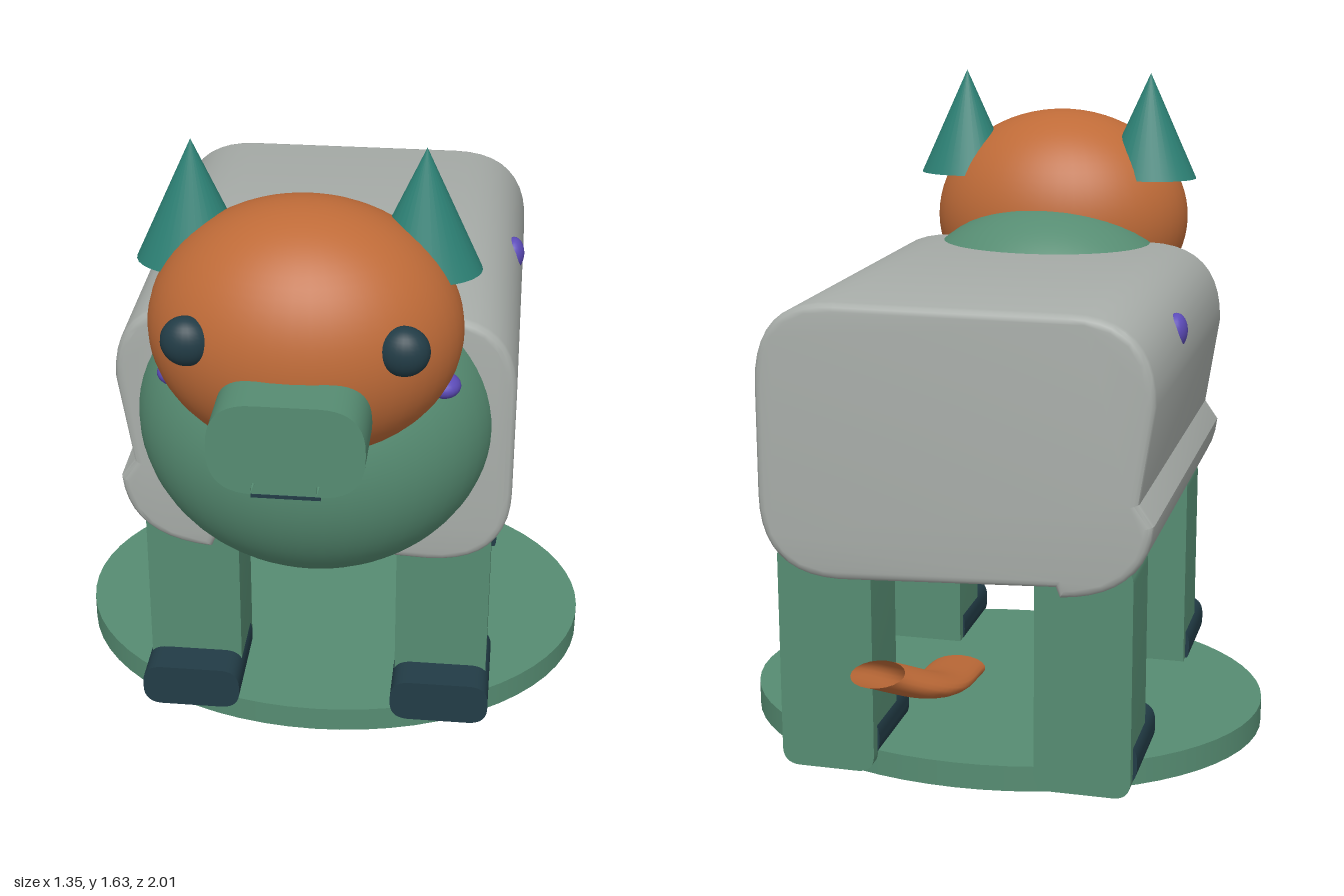
import * as THREE from 'three';
import { toCreasedNormals } from 'three/addons/utils/BufferGeometryUtils.js';

const mat = (name, color, side = THREE.FrontSide) => {
  const m = new THREE.MeshStandardMaterial({ color, side });
  m.name = name;
  return m;
};

// Rounded rectangle centred on the origin
function roundedRect(w, h, r) {
  const x = w / 2, y = h / 2, s = new THREE.Shape();
  s.moveTo(-x + r, -y);
  s.lineTo(x - r, -y);
  s.quadraticCurveTo(x, -y, x, -y + r);
  s.lineTo(x, y - r);
  s.quadraticCurveTo(x, y, x - r, y);
  s.lineTo(-x + r, y);
  s.quadraticCurveTo(-x, y, -x, y - r);
  s.lineTo(-x, -y + r);
  s.quadraticCurveTo(-x, -y, -x + r, -y);
  return s;
}

// Extrudes a shape along z between two depths, optionally with a soft edge
function extrude(shape, z0, z1, bevel = 0) {
  const g = new THREE.ExtrudeGeometry(shape, {
    depth: z1 - z0 - 2 * bevel, curveSegments: 10, bevelEnabled: bevel > 0,
    bevelThickness: bevel, bevelSize: bevel, bevelOffset: -bevel, bevelSegments: 3,
  });
  g.translate(0, 0, z0 + bevel);
  return toCreasedNormals(g, 0.6);
}

export function createModel() {
  const model = new THREE.Group();
  model.name = 'toyAnimal';
  const green = mat('green', 0x568c72);
  const grey = mat('grey', 0xa8ada9);
  const orange = mat('orange', 0xbf6b38, THREE.DoubleSide);
  const teal = mat('teal', 0x2c8074);
  const dark = mat('dark slate', 0x223c46);
  const purple = mat('purple', 0x5c4bb8);

  const add = (name, geometry, material, x = 0, y = 0, z = 0) => {
    const m = new THREE.Mesh(geometry, material);
    m.name = name;
    m.position.set(x, y, z);
    model.add(m);
    return m;
  };
  const ellipsoid = (name, material, p, r, n = 32) => {
    const m = add(name, new THREE.SphereGeometry(1, n, n * 0.75), material, ...p);
    m.scale.set(...r);
    return m;
  };

  // Oval base
  add('base', new THREE.CylinderGeometry(1, 1, 0.065, 64), green, 0, 0.0325, -0.063)
    .scale.set(0.675, 1, 0.538);

  // Body with a crease along its lower right side
  const b = new THREE.Shape();
  b.moveTo(-0.25, 0.535);
  b.lineTo(0.28, 0.51);
  b.quadraticCurveTo(0.48, 0.51, 0.48, 0.71);
  b.lineTo(0.48, 0.98);
  b.quadraticCurveTo(0.48, 1.185, 0.28, 1.185);
  b.lineTo(-0.28, 1.185);
  b.quadraticCurveTo(-0.48, 1.185, -0.48, 0.98);
  b.lineTo(-0.445, 0.75);
  b.lineTo(-0.48, 0.7);
  b.quadraticCurveTo(-0.465, 0.525, -0.26, 0.51);
  b.closePath();
  add('body', extrude(b, -0.62, 0.43, 0.02), grey);

  // Chest and head
  ellipsoid('chest', green, [0, 0.89, 0.375], [0.43, 0.395, 0.345], 48);
  ellipsoid('head', orange, [0, 1.227, 0.58], [0.356, 0.298, 0.28], 48);

  // Snout and mouth
  add('snout', extrude(roundedRect(0.34, 0.215, 0.1), 0.7, 0.96), green, 0, 1.118, 0);
  add('mouth', new THREE.BoxGeometry(0.15, 0.008, 0.1), dark, 0, 1.008, 0.912);

  for (const s of [-1, 1]) {
    // Ears, eyes and nostril bristles
    add('ear', new THREE.ConeGeometry(0.13, 0.285, 32), teal, s * 0.26, 1.4925, 0.51)
      .scale.z = 0.77;
    ellipsoid('eye', dark, [s * 0.235, 1.278, 0.783], [0.057, 0.057, 0.045], 24);
    const n = add('nostril', new THREE.ConeGeometry(0.006, 0.05, 8), green, s * 0.07, 1.035, 0.967);
    n.rotation.x = Math.PI / 2;

    // Studs on the chest and flanks
    ellipsoid('chestStud', purple, [s * 0.312, 1.068, 0.54], [0.04, 0.028, 0.042], 20);
    ellipsoid('flankStud', purple, [s * 0.455, 1.07, -0.19], [0.028, 0.044, 0.04], 20);

    // Legs and hooves
    for (const z of [0.275, -0.515]) {
      add('leg', extrude(roundedRect(0.235, 0.58, 0.045), -0.095, 0.095), green,
        s * 0.3175, 0.31, z);
      add('hoof', extrude(roundedRect(0.25, 0.115, 0.05), -0.065, 0.185), dark,
        s * 0.32, 0.0975, z);
    }
  }

  // Flattened open tail
  const path = new THREE.CatmullRomCurve3([
    new THREE.Vector3(0, 0, 0),
    new THREE.Vector3(-0.005, 0.15, -0.22),
    new THREE.Vector3(0.08, 0.4, -0.37),
  ]);
  add('tail', new THREE.TubeGeometry(path, 24, 0.067, 20), orange, -0.007, 0.305, -0.585)
    .scale.y = 0.3;

  return model;
}
